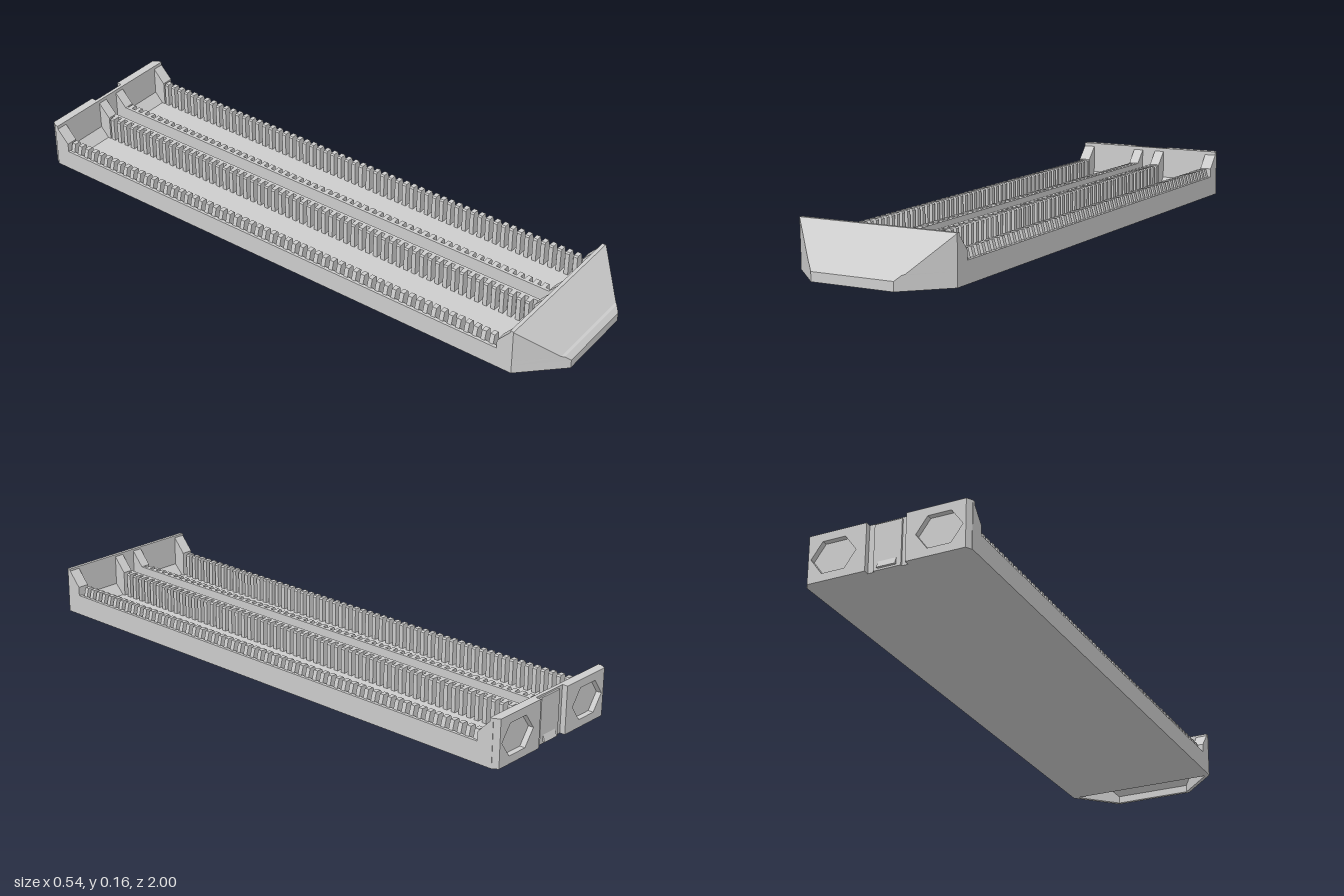
import * as THREE from 'three';
import { mergeGeometries } from 'three/addons/utils/BufferGeometryUtils.js';

const grey = new THREE.MeshStandardMaterial({ color: 0xcccccc });
grey.name = 'plainGrey';

const W = 0.268, H = 0.157, FLOOR = 0.015;
const BACK = -0.97, FRONT = 0.87;

const shapeOf = (pts) => new THREE.Shape(pts.map(([x, y]) => new THREE.Vector2(x, y)));
const box = (x0, x1, y0, y1, z0, z1) =>
  new THREE.BoxGeometry(x1 - x0, y1 - y0, z1 - z0)
    .translate((x0 + x1) / 2, (y0 + y1) / 2, (z0 + z1) / 2);

// Outline in x, y pushed along z
const alongZ = (shape, z0, z1) =>
  new THREE.ExtrudeGeometry(shape, { depth: z1 - z0, bevelEnabled: false }).translate(0, 0, z0);

// Outline in z, y pushed along x
const alongX = (pts, x0, x1) =>
  new THREE.ExtrudeGeometry(shapeOf(pts), { depth: x1 - x0, bevelEnabled: false })
    .rotateY(-Math.PI / 2).translate(x1, 0, 0);

// Hollow front hood: open trapezoid rings at rising heights, outside and inside
function hoodGeometry() {
  const t = 0.012;
  const ring = (y, f, inset) => {
    const w = 0.14 + (1 - f) - inset * 0.45;
    const z = f - inset;
    return [[W - inset * 1.4, y, FRONT], [w, y, z], [-w, y, z], [-W + inset * 1.4, y, FRONT]];
  };
  const outer = [[0, 1], [0.03, 1], [0.045, 0.985], [0.048, 0.977], [H, FRONT]]
    .map(([y, f]) => ring(y, f, 0));
  const inner = [[0, 1], [0.025, 1], [0.138, 0.884]].map(([y, f]) => ring(y, f, t));
  const pos = [];
  const quad = (a, b, c, d) => pos.push(...a, ...b, ...c, ...a, ...c, ...d);
  const skin = (rings, inward) => {
    for (let r = 0; r < rings.length - 1; r++) {
      for (let i = 0; i < 3; i++) {
        const a = rings[r][i], b = rings[r][i + 1], c = rings[r + 1][i + 1], d = rings[r + 1][i];
        if (inward) quad(a, b, c, d);
        else quad(b, a, d, c);
      }
    }
  };
  skin(outer, false);
  skin(inner, true);
  // Rim underneath
  for (let i = 0; i < 3; i++) quad(outer[0][i], outer[0][i + 1], inner[0][i + 1], inner[0][i]);
  const g = new THREE.BufferGeometry();
  g.setAttribute('position', new THREE.Float32BufferAttribute(pos, 3));
  g.computeVertexNormals();
  return g;
}

// Half of the back panel with a hexagonal pocket and a chamfered outer corner
function backPanel(s) {
  const panel = shapeOf([[s * 0.065, 0], [s * W, 0], [s * W, H], [s * 0.065, H]]);
  const hex = [];
  for (let i = 0; i < 6; i++) {
    const a = i * Math.PI / 3;
    hex.push(new THREE.Vector2(s * 0.172 + 0.075 * Math.cos(a), 0.078 + 0.06 * Math.sin(a)));
  }
  panel.holes.push(new THREE.Path(hex));
  const g = alongZ(panel, -1, -0.98);
  const p = g.attributes.position;
  for (let i = 0; i < p.count; i++) {
    if (p.getZ(i) < -0.99 && Math.abs(p.getX(i)) > W - 0.001) p.setX(i, s * (W - 0.012));
  }
  g.computeVertexNormals();
  return g;
}

export function createModel() {
  const model = new THREE.Group();
  const add = (name, ...geos) => {
    const flat = geos.map((g) => (g.index ? g.toNonIndexed() : g));
    const mesh = new THREE.Mesh(flat.length > 1 ? mergeGeometries(flat) : flat[0], grey);
    mesh.name = name;
    model.add(mesh);
  };

  // Tray body
  add('floor', box(-W, W, 0, FLOOR, BACK, FRONT));
  add('frontWall', box(-W, W, FLOOR, H, 0.858, FRONT));
  add('backWall', box(-W, W, 0, H, -0.982, BACK));
  add('hood', hoodGeometry());

  // Back details: pocketed panels, central channel pad and its small catch
  add('backPanels', backPanel(1), backPanel(-1));
  add('channelPad', box(-0.045, 0.045, 0, H - 0.006, -0.988, -0.981));
  add('catch', alongX([[-0.988, 0.006], [-0.988, 0.028], [-0.996, 0.006]], -0.03, 0.03));

  // Ramps where the floor meets the end walls
  add('ramps',
    alongX([[0.825, FLOOR], [0.859, FLOOR], [0.859, 0.05]], -W + 0.01, W - 0.01),
    alongX([[BACK - 0.001, FLOOR], [-0.94, FLOOR], [BACK - 0.001, 0.05]], -W + 0.01, W - 0.01));

  const frontGusset = [[0.86, 0], [0.86, 0.152], [0.815, 0.1], [0.815, 0]];
  const backGusset = [[BACK, 0], [BACK, 0.145], [-0.928, 0.1], [-0.928, 0]];
  const count = 58, z0 = -0.922, pitch = 1.735 / count;

  for (const s of [1, -1]) {
    const side = s > 0 ? 'left' : 'right';
    const span = (a, b) => (s > 0 ? [a, b] : [-b, -a]);
    // Low outer wall and full-height inner rail
    add(side + 'OuterWall', box(...span(0.256, W), FLOOR, 0.07, BACK, 0.859));
    add(side + 'InnerRail', box(...span(0.025, 0.035), FLOOR, 0.1, BACK, 0.859));

    // End gussets on the wall and the rail
    const outer = span(0.228, W), inner = span(0.025, 0.06);
    add(side + 'Gussets', ...[outer, inner].flatMap(([a, b]) =>
      [alongX(frontGusset, a, b), alongX(backGusset, a, b)]));

    // Rows of slotted teeth
    const outerTooth = shapeOf([[0.228, FLOOR], [0.26, FLOOR], [0.26, 0.07], [0.252, 0.1], [0.232, 0.1], [0.228, 0.095]]
      .map(([x, y]) => [s * x, y]));
    const innerTooth = shapeOf([[0.034, FLOOR], [0.06, FLOOR], [0.06, 0.095], [0.056, 0.1], [0.034, 0.1]]
      .map(([x, y]) => [s * x, y]));
    const teeth = [];
    for (let i = 0; i < count; i++) {
      const z = z0 + i * pitch;
      teeth.push(alongZ(outerTooth, z, z + pitch * 0.5), alongZ(innerTooth, z, z + pitch * 0.5));
    }
    add(side + 'Teeth', ...teeth);
  }
  return model;
}
